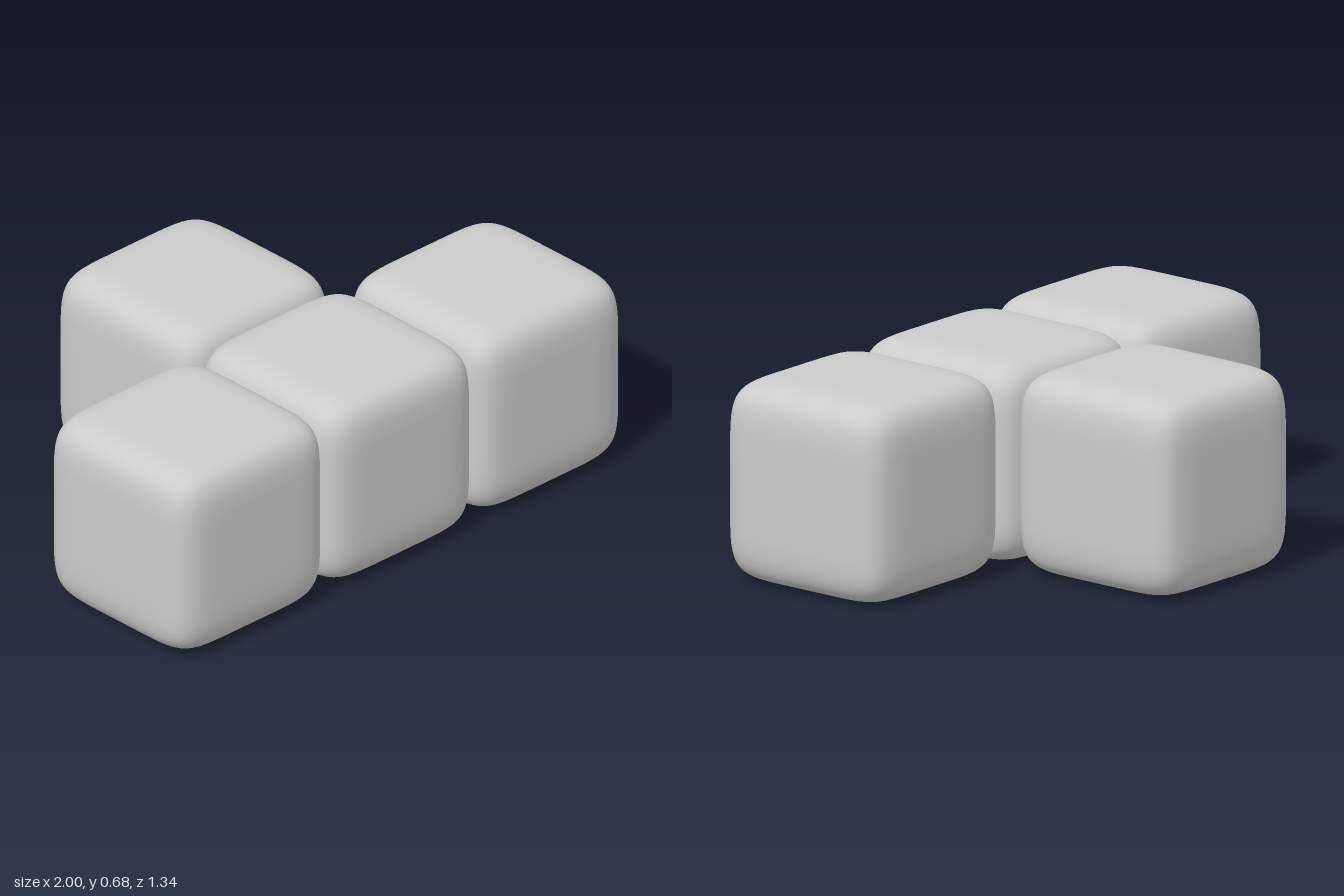
import * as THREE from 'three';

const HALF = 0.3375;   // half the width of one block
const STEP = 0.6625;   // spacing, slightly less than the width so bulges touch
const POWER = 6.4;     // roundness of the block: higher is boxier

// Cube pushed onto a superellipsoid: gently bulging faces, soft edges and corners
function pillowCube() {
  const geometry = new THREE.BoxGeometry(2, 2, 2, 24, 24, 24);
  const { position, normal } = geometry.attributes;
  const p = new THREE.Vector3();
  const n = new THREE.Vector3();
  const crowd = (v) => Math.sin(v * Math.PI / 2); // denser rows near the edges
  const slope = (v) => Math.sign(v) * Math.abs(v) ** (POWER - 1);
  for (let i = 0; i < position.count; i++) {
    p.fromBufferAttribute(position, i);
    p.set(crowd(p.x), crowd(p.y), crowd(p.z));
    const sum = Math.abs(p.x) ** POWER + Math.abs(p.y) ** POWER + Math.abs(p.z) ** POWER;
    p.multiplyScalar(HALF / sum ** (1 / POWER));
    n.copy(p).divideScalar(HALF);
    n.set(slope(n.x), slope(n.y), slope(n.z)).normalize();
    position.setXYZ(i, p.x, p.y, p.z);
    normal.setXYZ(i, n.x, n.y, n.z);
  }
  return geometry;
}

export function createModel() {
  const model = new THREE.Group();
  model.name = 'tBlock';
  const geometry = pillowCube();
  const material = new THREE.MeshStandardMaterial({ color: 0xcccccc });

  // Row of three at the front, one behind the middle
  const blocks = [
    ['rightBlock', -1, 0.5],
    ['middleBlock', 0, 0.5],
    ['leftBlock', 1, 0.5],
    ['backBlock', 0, -0.5],
  ];
  for (const [name, column, row] of blocks) {
    const block = new THREE.Mesh(geometry, material);
    block.name = name;
    block.position.set(column * STEP, HALF, row * STEP);
    model.add(block);
  }
  return model;
}
